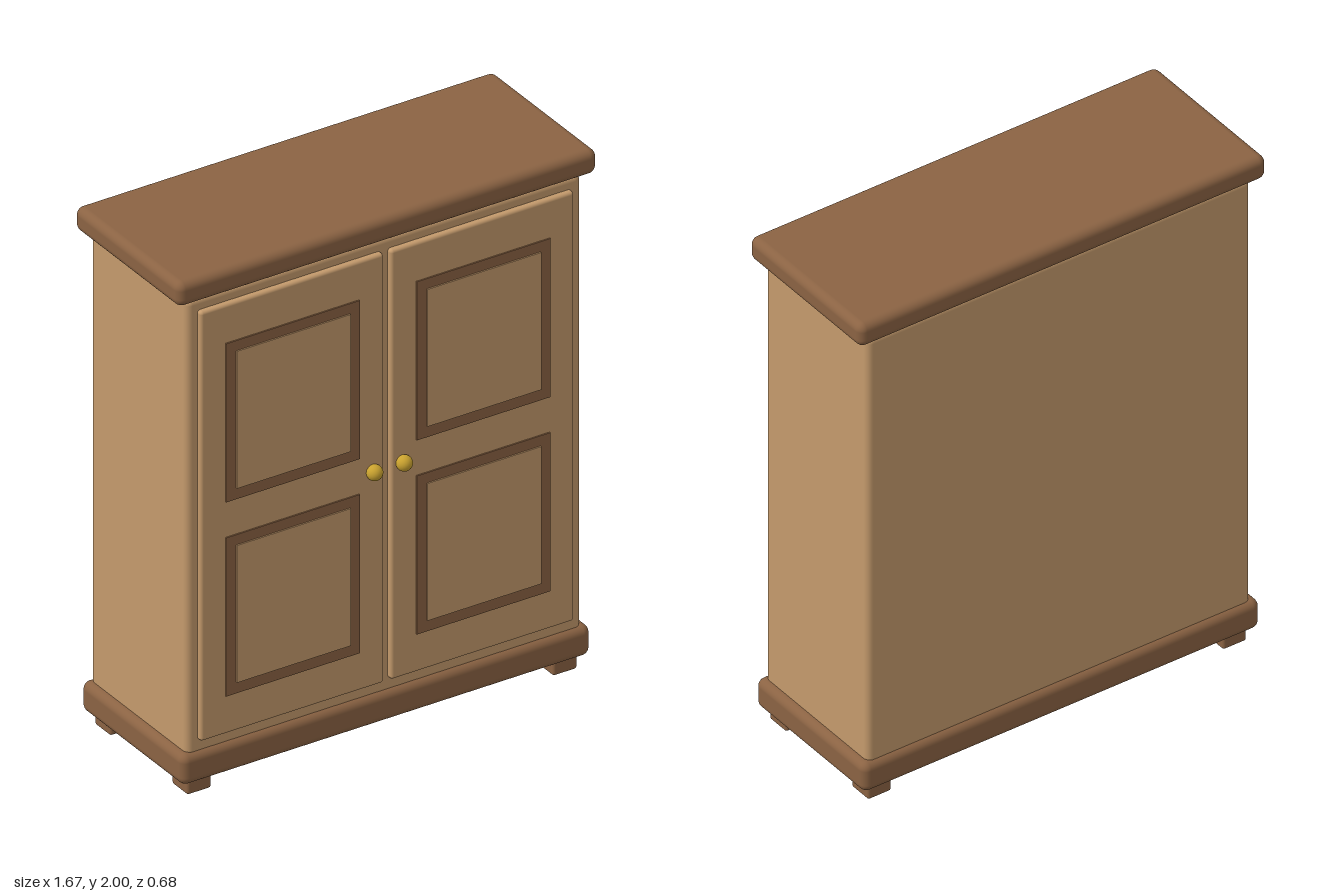
import * as THREE from 'three';
import { RoundedBoxGeometry } from 'three/addons/geometries/RoundedBoxGeometry.js';

const material = (name, color) => {
  const m = new THREE.MeshStandardMaterial({ color });
  m.name = name;
  return m;
};

export function createModel() {
  const lightWood = material('light wood', 0xc49a6c);
  const darkWood = material('dark wood', 0x8b6343);
  const brass = material('brass', 0xc9a22f);

  const model = new THREE.Group();
  model.name = 'wardrobe';

  // Box given by its limits on each axis, with rounded edges when r > 0
  function box(parent, name, mat, [x0, x1], [y0, y1], [z0, z1], r = 0) {
    const size = [x1 - x0, y1 - y0, z1 - z0];
    const geometry = r > 0
      ? new RoundedBoxGeometry(...size, 4, r)
      : new THREE.BoxGeometry(...size);
    const mesh = new THREE.Mesh(geometry, mat);
    mesh.name = name;
    mesh.position.set((x0 + x1) / 2, (y0 + y1) / 2, (z0 + z1) / 2);
    parent.add(mesh);
    return mesh;
  }

  // Carcass, plinth and cornice
  box(model, 'carcass', lightWood, [-0.787, 0.787], [0.15, 1.912], [-0.312, 0.277], 0.025);
  box(model, 'plinth', darkWood, [-0.815, 0.815], [0.053, 0.17], [-0.331, 0.296], 0.03);
  box(model, 'cornice', darkWood, [-0.836, 0.836], [1.907, 2], [-0.339, 0.304], 0.03);

  for (const side of [-1, 1]) {
    const span = (a, b) => (side > 0 ? [a, b] : [-b, -a]);
    const sideName = side > 0 ? 'left' : 'right';

    // Feet, front and back
    box(model, `${sideName}FrontFoot`, darkWood, span(0.68, 0.777), [0, 0.07], [0.17, 0.267], 0.01);
    box(model, `${sideName}BackFoot`, darkWood, span(0.68, 0.777), [0, 0.07], [-0.302, -0.205], 0.01);

    // Door with two framed, raised panels
    const door = new THREE.Group();
    door.name = `${sideName}Door`;
    model.add(door);
    box(door, 'doorLeaf', lightWood, span(0.014, 0.744), [0.21, 1.865], [0.258, 0.298], 0.012);
    for (const [row, y0] of [['lower', 0.358], ['upper', 1.106]]) {
      box(door, `${row}PanelFrame`, darkWood, span(0.114, 0.646), [y0, y0 + 0.611], [0.29, 0.303]);
      box(door, `${row}Panel`, lightWood, span(0.153, 0.606), [y0 + 0.043, y0 + 0.572], [0.292, 0.308]);
    }

    // Round knob near the meeting edge
    const knob = new THREE.Mesh(new THREE.SphereGeometry(0.029, 24, 16), brass);
    knob.name = 'knob';
    knob.position.set(side * 0.059, 1.04, 0.31);
    door.add(knob);
  }

  return model;
}
